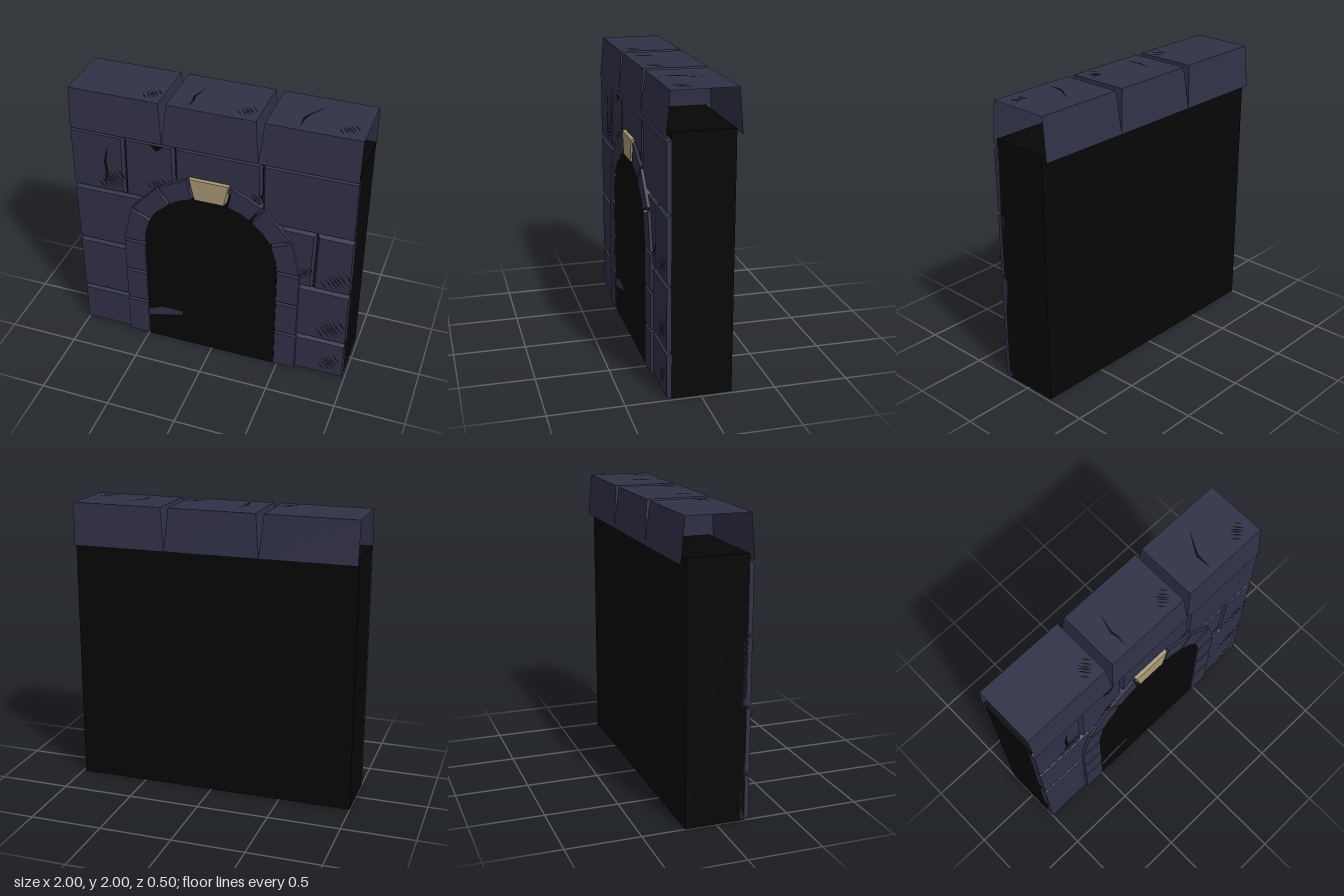
import * as THREE from 'three';
import { mergeGeometries } from 'three/addons/utils/BufferGeometryUtils.js';

const LEFT = -1, RIGHT = 0.98, AXIS = -0.0085; // wall ends and the arch's mirror line
const FACE = 0.197;                            // front plane of the dark core

const named = (name, color, side = THREE.FrontSide) => {
  const m = new THREE.MeshStandardMaterial({ color, side });
  m.name = name;
  return m;
};

const toShape = (pts) => new THREE.Shape(pts.map(([x, y]) => new THREE.Vector2(x, y)));
const mirror = (pts) => pts.map(([x, y]) => [2 * AXIS - x, y]).reverse();
const rect = (x0, y0, x1, y1) => [[x0, y0], [x1, y0], [x1, y1], [x0, y1]];

// Chamfered stone set in the core; sides on the wall ends stay square
function stoneGeometry(pts, height, bevel) {
  const geo = new THREE.ExtrudeGeometry(toShape(pts), {
    depth: 0.001, bevelEnabled: true, bevelSegments: 1,
    bevelThickness: height, bevelSize: bevel, bevelOffset: -bevel,
  });
  geo.translate(0, 0, FACE - 0.001);
  const p = geo.attributes.position;
  for (let i = 0; i < p.count; i++) {
    if (p.getX(i) < LEFT + 0.03) p.setX(i, LEFT);
    if (p.getX(i) > RIGHT - 0.03) p.setX(i, RIGHT);
  }
  geo.computeVertexNormals();
  return geo;
}

// Coping block: tapered, open underneath, end walls only where asked
function copingGeometry(b0, b1, t0, t1, leftEnd, rightEnd) {
  const yb = 1.708, yt = 2, fb = 0.23, ft = 0.203, bb = -0.249, bt = -0.223;
  const A = [b0, yb, fb], B = [b1, yb, fb], C = [t1, yt, ft], D = [t0, yt, ft];
  const E = [b0, yb, bb], F = [b1, yb, bb], G = [t1, yt, bt], H = [t0, yt, bt];
  const quads = [[A, B, C, D], [F, E, H, G], [D, C, G, H]];
  if (leftEnd) quads.push([E, A, D, H]);
  if (rightEnd) quads.push([B, F, G, C]);
  const verts = quads.flatMap(([a, b, c, d]) => [a, b, c, a, c, d].flat());
  const geo = new THREE.BufferGeometry();
  geo.setAttribute('position', new THREE.Float32BufferAttribute(verts, 3));
  geo.computeVertexNormals();
  return geo;
}

// Tapered crack following a path
function crackGeometry(path, w) {
  const last = path.length - 1;
  const inner = path.slice(1, last);
  return new THREE.ShapeGeometry(toShape([
    path[0], ...inner.map(([x, y]) => [x - w, y]),
    path[last], ...inner.map(([x, y]) => [x + w, y]).reverse(),
  ]));
}

// Row of short slanted strokes climbing to the right
function hatchGeometry(x, y, w, h, count = 6) {
  const strokes = [];
  const len = Math.min(w, h) * 0.68;
  for (let i = 0; i < count; i++) {
    const t = i / (count - 1);
    const k = len * (0.65 + 0.35 * Math.sin(Math.PI * t));
    const sx = x + t * (w - k * 0.8), sy = y + k + t * (h - k);
    const ex = sx + k * 0.8, ey = sy - k;
    strokes.push(new THREE.ShapeGeometry(toShape([
      [sx, sy], [(sx + ex) / 2 - 0.004, (sy + ey) / 2 - 0.003],
      [ex, ey], [(sx + ex) / 2 + 0.004, (sy + ey) / 2 + 0.003],
    ])));
  }
  return mergeGeometries(strokes);
}

export function createModel() {
  const group = new THREE.Group();
  const stone = named('slate stone', 0x313148);
  const coping = named('coping stone', 0x313148, THREE.DoubleSide);
  const dark = named('dark core', 0x060606);
  const marks = named('crack black', 0x050505, THREE.DoubleSide);
  const sand = named('sandstone', 0xa89776);
  const add = (name, geo, mat) => {
    const mesh = new THREE.Mesh(geo, mat);
    mesh.name = name;
    group.add(mesh);
    return mesh;
  };

  // Core wall
  const core = add('coreWall', new THREE.BoxGeometry(RIGHT - LEFT, 1.75, FACE + 0.209), dark);
  core.position.set((LEFT + RIGHT) / 2, 0.875, (FACE - 0.209) / 2);

  // Wall courses, cut away behind the arch
  const courses = [
    rect(LEFT, 0, -0.57, 0.318), rect(0.55, 0, RIGHT, 0.318),
    rect(LEFT, 0.322, -0.57, 0.77), rect(0.55, 0.322, RIGHT, 0.77),
    [[LEFT, 0.774], [-0.57, 0.774], [-0.53, 1.08], [-0.46, 1.234], [LEFT, 1.234]],
    [[0.55, 0.774], [0.72, 0.774], [0.73, 1.234], [0.44, 1.234], [0.51, 1.08]],
    [[0.724, 0.774], [RIGHT, 0.774], [RIGHT, 1.234], [0.734, 1.234]],
    [[LEFT, 1.238], [-0.627, 1.238], [-0.62, 1.705], [LEFT, 1.705]],
    [[-0.623, 1.238], [-0.4, 1.238], [-0.26, 1.35], [-0.262, 1.705], [-0.616, 1.705]],
    [[-0.256, 1.35], [-0.1, 1.42], [0.08, 1.42], [0.25, 1.34], [0.348, 1.27], [0.345, 1.705], [-0.258, 1.705]],
    [[0.352, 1.238], [RIGHT, 1.238], [RIGHT, 1.705], [0.349, 1.705]],
  ];
  courses.forEach((pts) => add('wallStone', stoneGeometry(pts, 0.028, 0.017), stone));

  // Jambs and arch stones, mirrored across the doorway
  const archSide = [
    rect(-0.657, 0, -0.483, 0.314),
    rect(-0.657, 0.318, -0.483, 0.59),
    rect(-0.657, 0.595, -0.483, 0.862),
    [[-0.657, 0.865], [-0.483, 0.865], [-0.473, 0.96], [-0.438, 1.075], [-0.592, 1.143]],
    [[-0.588, 1.15], [-0.435, 1.082], [-0.38, 1.163], [-0.297, 1.236], [-0.391, 1.371]],
    [[-0.384, 1.376], [-0.29, 1.242], [-0.22, 1.29], [-0.128, 1.322], [-0.162, 1.49]],
  ];
  archSide.forEach((pts) => {
    add('archStoneRight', stoneGeometry(pts, 0.047, 0.01), stone);
    add('archStoneLeft', stoneGeometry(mirror(pts), 0.047, 0.01), stone);
  });
  const key = [[-0.12, 1.325], [0.1, 1.325], [0.137, 1.5], [-0.157, 1.5]];
  add('keystone', stoneGeometry(key, 0.052, 0.009), sand);

  // Dark doorway, filled nearly flush with the arch front
  const doorSide = [[-0.12, 1.332], [-0.22, 1.298], [-0.302, 1.243], [-0.386, 1.168],
    [-0.444, 1.078], [-0.48, 0.962], [-0.489, 0.865], [-0.489, 0]];
  const doorway = new THREE.ExtrudeGeometry(toShape([...doorSide, ...mirror(doorSide)]),
    { depth: 0.04, bevelEnabled: false });
  add('doorway', doorway, dark).position.z = FACE;

  // Pale sliver low in the doorway
  const sliver = new THREE.ShapeGeometry(toShape(
    [[-0.485, 0.19], [-0.225, 0.26], [-0.225, 0.292], [-0.385, 0.292], [-0.485, 0.245]]));
  add('doorwaySliver', sliver, stone).position.z = FACE + 0.042;

  // Coping blocks with wedge gaps between them
  add('copingRight', copingGeometry(LEFT, -0.342, LEFT, -0.369, false, true), coping);
  add('copingMiddle', copingGeometry(-0.342, 0.32, -0.313, 0.293, true, true), coping);
  add('copingLeft', copingGeometry(0.32, RIGHT, 0.349, RIGHT, true, false), coping);

  // Front cracks, chip and hatching
  const front = [
    crackGeometry([[-0.735, 1.62], [-0.76, 1.48], [-0.75, 1.4], [-0.775, 1.28]], 0.01),
    new THREE.ShapeGeometry(toShape([[-0.43, 1.69], [-0.38, 1.645], [-0.33, 1.69]])),
    hatchGeometry(-0.83, 1.25, 0.22, 0.2, 8),
    hatchGeometry(-0.46, 1.34, 0.14, 0.1, 5),
    hatchGeometry(0.26, 1.38, 0.1, 0.1, 4),
    hatchGeometry(0.62, 0.85, 0.1, 0.11, 5),
    hatchGeometry(0.77, 0.79, 0.23, 0.18, 7),
    hatchGeometry(0.765, 0.34, 0.22, 0.21, 7),
    hatchGeometry(0.8, 0.04, 0.16, 0.17, 6),
  ];
  add('frontCracks', mergeGeometries(front), marks).position.z = FACE + 0.031;

  // Cracks and hatching on the coping tops
  const top = [
    crackGeometry([[-0.14, 0.09], [-0.175, -0.05], [-0.165, -0.09], [-0.17, -0.17]], 0.008),
    crackGeometry([[0.665, 0.12], [0.575, -0.03], [0.565, -0.06], [0.565, -0.17]], 0.009),
    ...[-0.51, 0.14, 0.8].map((x) => hatchGeometry(x, -0.165, 0.13, 0.125)),
  ];
  const topMarks = mergeGeometries(top);
  topMarks.rotateX(-Math.PI / 2);
  add('copingCracks', topMarks, marks).position.y = 2.002;

  return group;
}
